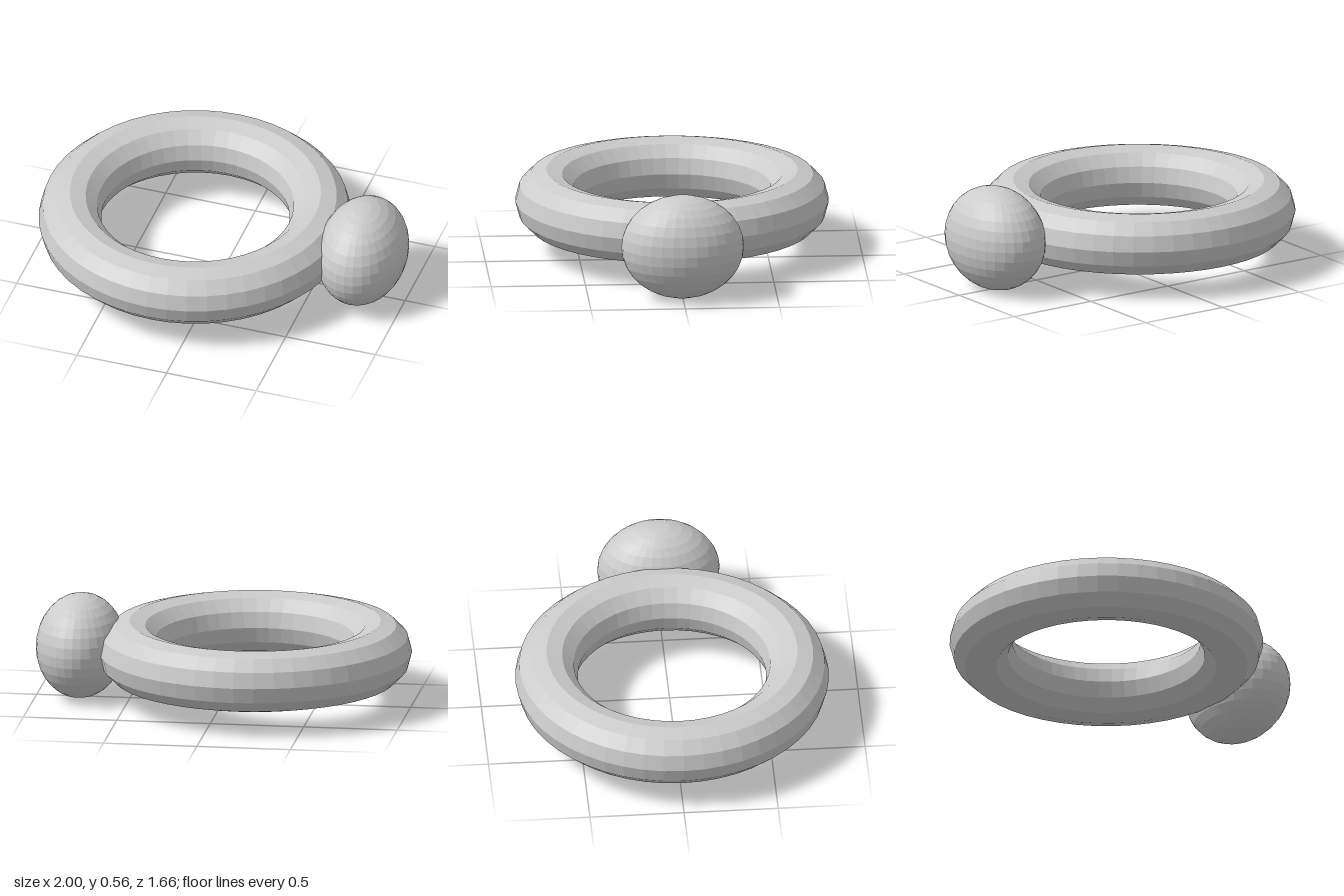
import * as THREE from 'three';

export function createModel() {
  const group = new THREE.Group();
  const material = new THREE.MeshStandardMaterial({ color: 0xcccccc, flatShading: true });
  const midHeight = 0.278;

  // Flat-lying ring band with a twelve-sided section
  const band = new THREE.Mesh(
    new THREE.TorusGeometry(0.665, 0.166, 12, 48).rotateX(-Math.PI / 2),
    material
  );
  band.name = 'ringBand';
  band.position.set(-0.169, midHeight, 0);

  // Flattened oval stone sunk into the band's left edge
  const stone = new THREE.Mesh(
    new THREE.SphereGeometry(1, 32, 16).scale(0.235, midHeight, 0.325),
    material
  );
  stone.name = 'stone';
  stone.position.set(0.765, midHeight, 0);

  group.add(band, stone);
  return group;
}
